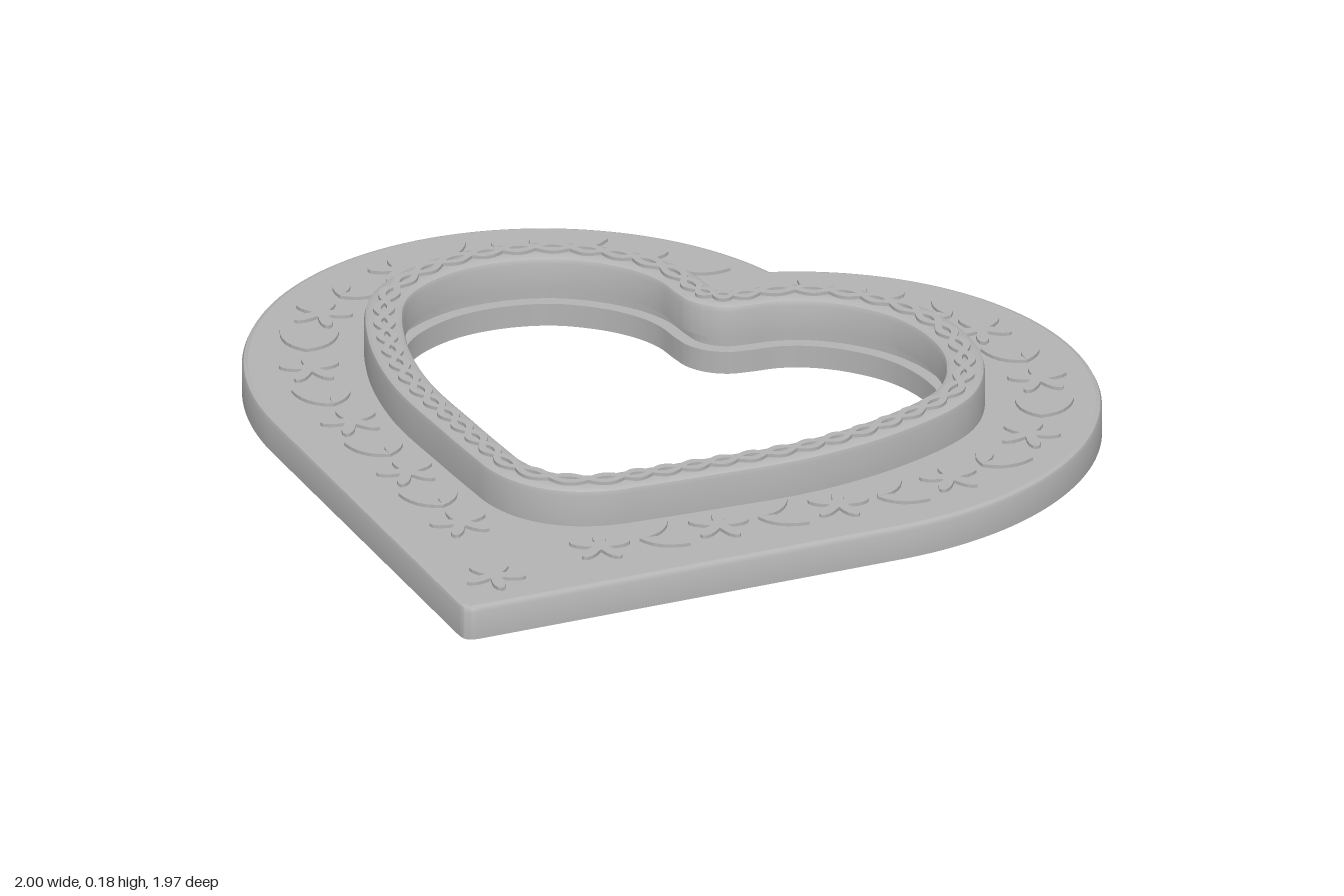
import * as THREE from 'three';
import { toCreasedNormals, mergeGeometries } from 'three/addons/utils/BufferGeometryUtils.js';

const PLATE_TOP = 0.08, RING_WIDTH = 0.09;
const v2 = (x, z) => new THREE.Vector2(x, z);

// Offset each point of a closed (x, z) loop along its outward mitred normal
function offsetLoop(loop, amount) {
  const n = loop.length;
  return loop.map((p, i) => {
    const a = p.clone().sub(loop[(i + n - 1) % n]).normalize();
    const b = loop[(i + 1) % n].clone().sub(p).normalize();
    const t = a.clone().add(b).normalize();
    const d = (typeof amount === 'function' ? amount(i) : amount) / Math.max(0.5, t.dot(b));
    return v2(p.x + t.y * d, p.y - t.x * d);
  });
}

// Sweep a profile of [offset, y] pairs around a closed loop
function sweep(loop, profile, shift = () => 0) {
  const n = loop.length, pos = [], index = [];
  profile.forEach(([off, y]) => {
    offsetLoop(loop, i => off + shift(i)).forEach(p => pos.push(p.x, y, p.y));
  });
  for (let j = 0; j < profile.length - 1; j++) {
    for (let i = 0; i < n; i++) {
      const k = (i + 1) % n, a = j * n + i, b = j * n + k, c = a + n, d = b + n;
      index.push(a, c, b, b, c, d);
    }
  }
  const g = new THREE.BufferGeometry();
  g.setAttribute('position', new THREE.Float32BufferAttribute(pos, 3));
  g.setIndex(index);
  return toCreasedNormals(g, 0.7);
}

// Flat face with holes, facing up or down
function cap(outer, holes, y, up) {
  const map = loop => loop.map(p => v2(p.x, up ? -p.y : p.y));
  const shape = new THREE.Shape(map(outer));
  shape.holes = holes.map(h => new THREE.Path(map(h)));
  return new THREE.ShapeGeometry(shape).rotateX(up ? -Math.PI / 2 : Math.PI / 2).translate(0, y, 0);
}

const mirrorLoop = half => half.concat(half.slice(1, -1).reverse().map(p => v2(-p.x, p.y)));

// Outer heart: round lobe, straight flank, small rounded tip
function outerHeart() {
  const path = new THREE.Path();
  path.absellipse(0.31, -0.31, 0.69, 0.68, -Math.acos(-0.31 / 0.69), 0, false);
  path.bezierCurveTo(1, -0.1, 0.91, 0.09, 0.77, 0.23);
  path.lineTo(0.03, 0.962);
  path.quadraticCurveTo(0.012, 0.98, 0, 0.98);
  const half = path.getPoints(28);
  half[0].x = 0;
  return mirrorLoop(half);
}

// Opening: a softer heart through a few points
function innerHeart() {
  const half = [
    [0, -0.52], [0.05, -0.53], [0.09, -0.556], [0.15, -0.602], [0.22, -0.629], [0.31, -0.637],
    [0.42, -0.617], [0.53, -0.55], [0.61, -0.45], [0.645, -0.31], [0.58, -0.125], [0.45, 0.065],
    [0.27, 0.235], [0.145, 0.345], [0.1, 0.382], [0.05, 0.407], [0, 0.415],
  ].map(p => v2(...p));
  const curve = new THREE.CatmullRomCurve3(
    mirrorLoop(half).map(p => new THREE.Vector3(p.x, 0, p.y)), true);
  return curve.getSpacedPoints(432).slice(0, -1).map(p => v2(p.x, p.z));
}

const relief = shape => new THREE.ExtrudeGeometry(shape, { depth: 0.009, bevelEnabled: false, curveSegments: 6 })
  .rotateX(-Math.PI / 2);

function flowerGeometry() {
  const pts = [];
  for (let i = 0; i < 50; i++) {
    const a = i / 50 * Math.PI * 2, r = 0.047 + 0.026 * Math.cos(5 * a);
    pts.push(v2(Math.cos(a) * r, Math.sin(a) * r));
  }
  return relief(new THREE.Shape(pts));
}

// Two pointed leaves opening in a V
function leafPairGeometry() {
  const leaf = new THREE.Shape();
  leaf.moveTo(0, 0);
  leaf.quadraticCurveTo(0.055, 0.042, 0.12, 0);
  leaf.quadraticCurveTo(0.055, -0.042, 0, 0);
  return mergeGeometries([-1, 1].map(s => relief(leaf).rotateY(s * 0.6).translate(-0.05, 0, 0)));
}

export function createModel() {
  const group = new THREE.Group();
  const grey = new THREE.MeshStandardMaterial({ color: 0xb3b3b3 });
  grey.name = 'plain grey';
  const add = (name, geometry, parent = group) => {
    const mesh = new THREE.Mesh(geometry, grey);
    mesh.name = name;
    parent.add(mesh);
    return mesh;
  };

  const outer = outerHeart(), inner = innerHeart();
  const hole = Array.from({ length: 32 }, (_, i) => {
    const a = i / 32 * Math.PI * 2;
    return v2(0.04 * Math.cos(a), -0.765 + 0.04 * Math.sin(a));
  });

  // Heart plate with an eased upper edge and a hanging hole
  const plate = new THREE.Group();
  plate.name = 'heartPlate';
  group.add(plate);
  add('plateEdge', sweep(outer, [[0, 0], [0, 0.068], [-0.004, 0.076], [-0.014, PLATE_TOP]]), plate);
  add('plateTop', cap(offsetLoop(outer, -0.014), [offsetLoop(inner, RING_WIDTH), hole], PLATE_TOP, true), plate);
  add('plateBottom', cap(outer, [inner, hole], 0, false), plate);
  add('hangingHole', sweep(hole, [[0, PLATE_TOP], [0, 0]]), plate);

  // Raised frame, with a groove running round its inside wall
  add('raisedFrame', sweep(inner, [
    [0.09, PLATE_TOP], [0.09, 0.156], [0.087, 0.166], [0.077, 0.172],
    [0.014, 0.172], [0.004, 0.167], [0, 0.157],
    [0, 0.09], [0.03, 0.09], [0.03, 0.055], [0, 0.055], [0, 0],
  ]));

  // Two interlaced wavy strands on top of the frame
  for (const phase of [0, Math.PI]) {
    add('braidStrand', sweep(inner,
      [[0.009, 0.17], [0.009, 0.18], [-0.009, 0.18], [-0.009, 0.17]],
      i => 0.045 + 0.016 * Math.sin(i / inner.length * Math.PI * 2 * 27 + phase)));
  }

  // Garland of flowers and leaves down both sides of the border
  const flower = flowerGeometry(), leaves = leafPairGeometry();
  const garland = new THREE.CatmullRomCurve3([
    [0.17, 0.58], [0.45, 0.31], [0.7, 0.07], [0.82, -0.12], [0.865, -0.33],
    [0.8, -0.57], [0.62, -0.76], [0.36, -0.855], [0.14, -0.82],
  ].map(([x, z]) => new THREE.Vector3(x, 0, z)));
  const slots = 15;
  for (const side of [1, -1]) {
    for (let i = 0; i <= slots; i++) {
      const p = garland.getPointAt(i / slots), t = garland.getTangentAt(i / slots);
      const isFlower = i % 2 === 0;
      const mesh = add(isFlower ? 'flower' : 'leafPair', isFlower ? flower : leaves);
      mesh.position.set(side * p.x, PLATE_TOP - 0.001, p.z);
      mesh.rotation.y = Math.atan2(-t.z, side * t.x);
    }
  }
  const tipFlower = add('tipFlower', flower);
  tipFlower.position.set(0, PLATE_TOP - 0.001, 0.81);
  tipFlower.rotation.y = Math.PI / 2;

  return group;
}
